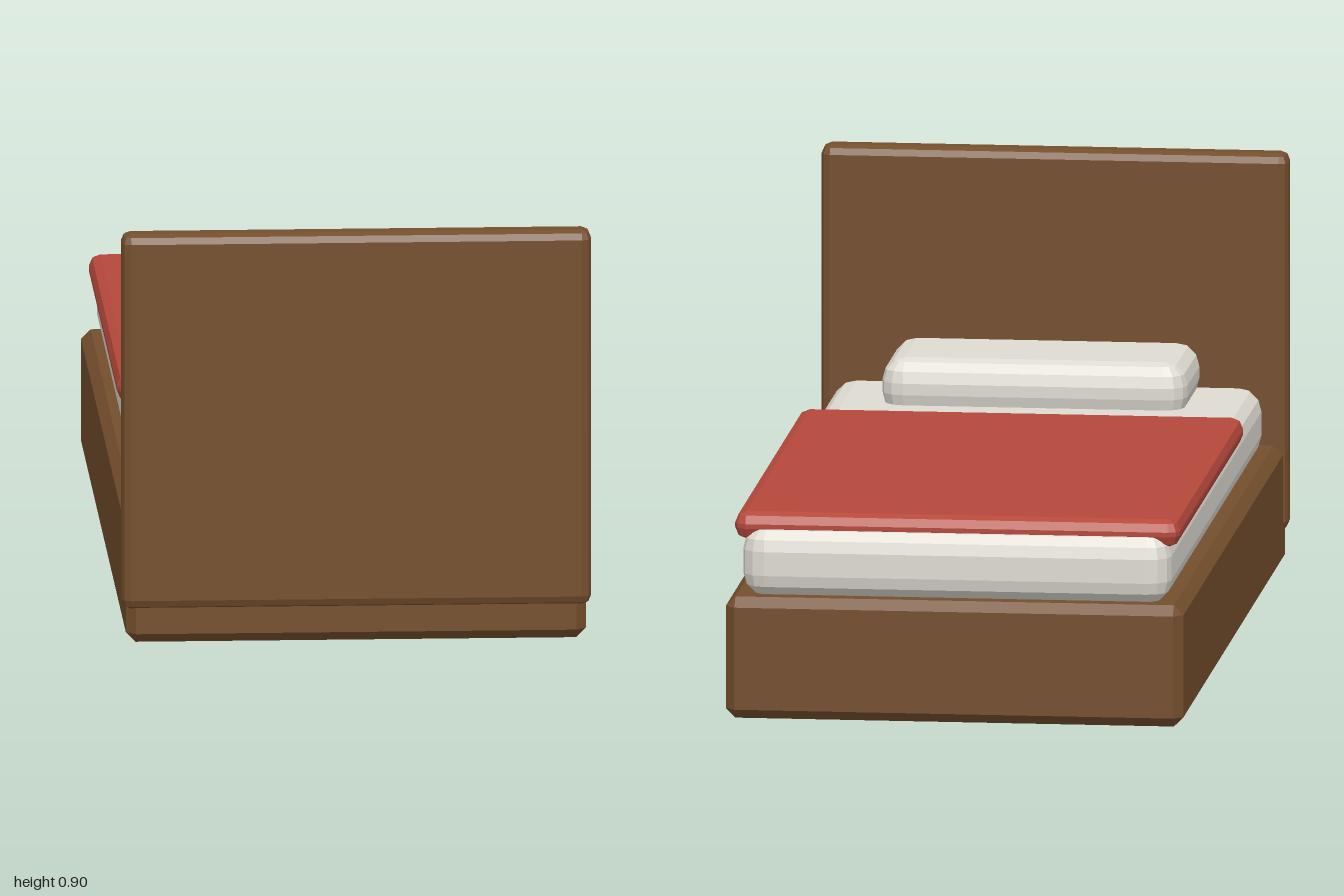
import * as THREE from 'three';
import { ConvexGeometry } from 'three/addons/geometries/ConvexGeometry.js';

const material = (color) => new THREE.MeshStandardMaterial({ color, flatShading: true });

// Box between two corners with every edge bevelled by radius r in n steps
function bevelledBox(min, max, r, n) {
  const centre = min.map((v, i) => (v + max[i]) / 2);
  const inner = min.map((v, i) => (max[i] - v) / 2 - r);
  const points = [];
  for (const sx of [-1, 1]) for (const sy of [-1, 1]) for (const sz of [-1, 1]) {
    for (let i = 0; i <= n; i++) {
      const a = (i / n) * Math.PI / 2;
      const steps = i === n ? 0 : n;
      for (let j = 0; j <= steps; j++) {
        const b = (j / n) * Math.PI / 2;
        points.push(new THREE.Vector3(
          centre[0] + sx * (inner[0] + r * Math.cos(a) * Math.cos(b)),
          centre[1] + sy * (inner[1] + r * Math.sin(a)),
          centre[2] + sz * (inner[2] + r * Math.cos(a) * Math.sin(b))
        ));
      }
    }
  }
  return new ConvexGeometry(points);
}

export function createModel() {
  const group = new THREE.Group();
  const wood = material(0x744e2c);
  const linen = material(0xdedbd2);
  const red = material(0xb5483b);

  const add = (name, mat, min, max, r, n) => {
    const mesh = new THREE.Mesh(bevelledBox(min, max, r, n), mat);
    mesh.name = name;
    group.add(mesh);
  };

  // Wooden base and upright board at the head end
  add('bedBase', wood, [-0.495, 0, -1], [0.495, 0.265, 0.985], 0.021, 1);
  add('headboard', wood, [-0.505, 0.077, 0.928], [0.505, 0.9, 1], 0.02, 2);

  // Bedding
  add('mattress', linen, [-0.463, 0.26, -0.977], [0.463, 0.412, 0.85], 0.05, 3);
  add('pillow', linen, [-0.33, 0.385, 0.513], [0.33, 0.51, 0.84], 0.05, 3);
  add('blanket', red, [-0.481, 0.382, -0.947], [0.481, 0.442, 0.315], 0.025, 2);

  return group;
}
